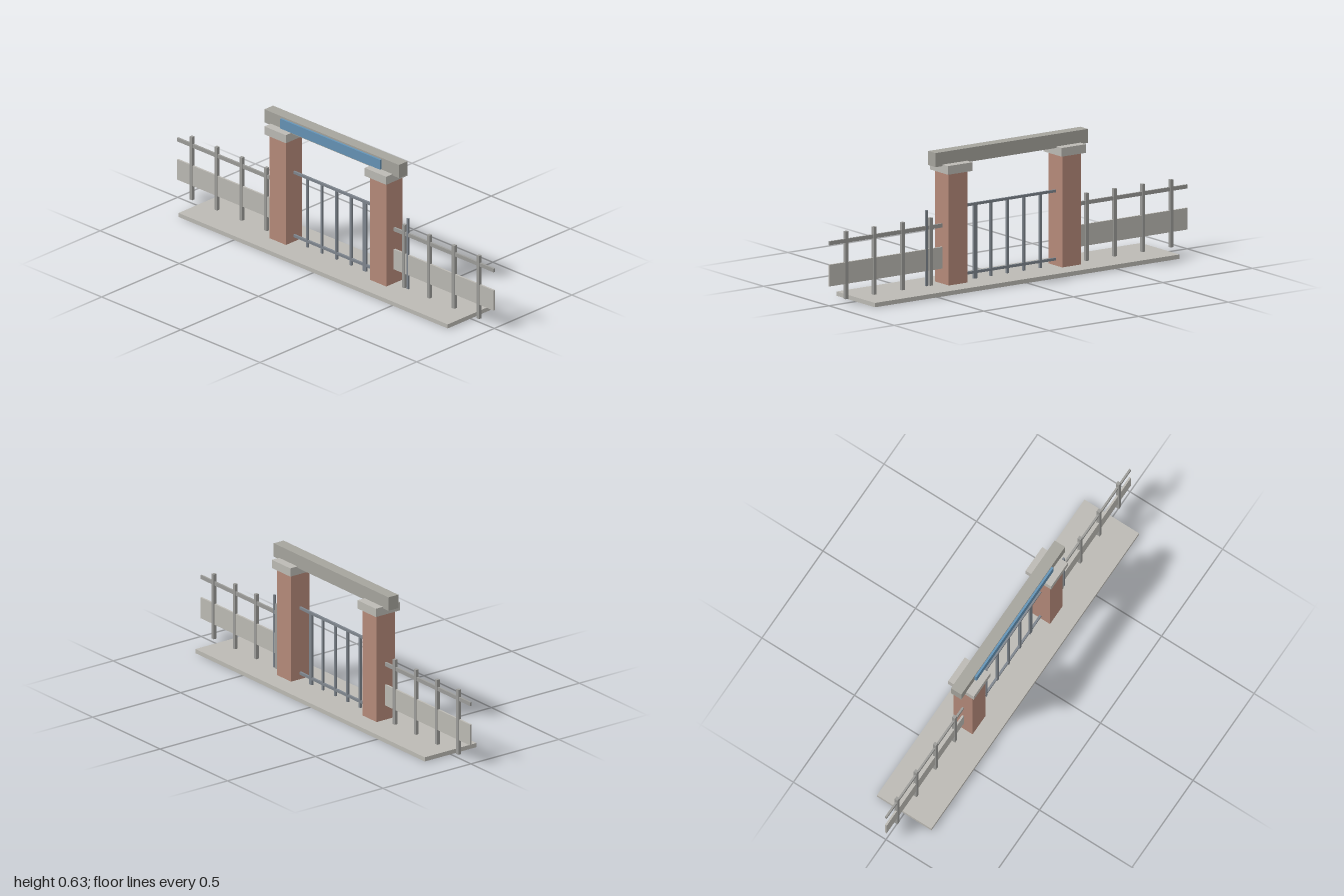
import * as THREE from 'three';

const material = (color) => new THREE.MeshStandardMaterial({ color });

export function createModel() {
  const model = new THREE.Group();
  const stone = material(0xbcbab4);
  const beamStone = material(0xa5a49d);
  const brick = material(0xb58a7a);
  const steel = material(0x9c9c99);
  const gateSteel = material(0x7f868e);
  const blue = material(0x6593b5);

  // Box given by its lower and upper limits on each axis
  const box = (name, mat, [x0, x1], [y0, y1], [z0, z1], parent = model) => {
    const mesh = new THREE.Mesh(new THREE.BoxGeometry(x1 - x0, y1 - y0, z1 - z0), mat);
    mesh.position.set((x0 + x1) / 2, (y0 + y1) / 2, (z0 + z1) / 2);
    mesh.name = name;
    parent.add(mesh);
  };
  const around = (c, half) => [c - half, c + half];

  // Ground slab
  box('base', stone, [-0.85, 0.85], [0, 0.02], [-0.147, 0.147]);

  // Brick pillars with stone caps
  for (const x of [-0.317, 0.317]) {
    box('pillar', brick, around(x, 0.052), [0.02, 0.537], around(0, 0.052));
    box('pillarCap', stone, around(x, 0.068), [0.537, 0.577], around(0, 0.069));
  }

  // Lintel and sign board
  box('lintel', beamStone, [-0.425, 0.425], [0.57, 0.635], around(0, 0.028));
  box('signBoard', blue, [-0.315, 0.315], [0.579, 0.627], [0.028, 0.038]);

  // Gate rails and bars; the second leaf's bars run on past the pillar
  const gate = new THREE.Group();
  gate.name = 'gate';
  model.add(gate);
  for (const y of [0.05, 0.365]) {
    box('gateRail', gateSteel, [-0.268, 0.268], around(y, 0.006), around(0, 0.005), gate);
  }
  for (const [start, count] of [[-0.18, 5], [0.179, 4]]) {
    for (let i = 0; i < count; i++) {
      box('gateBar', gateSteel, around(start + i * 0.092, 0.0055), [0.02, 0.37], around(0, 0.005), gate);
    }
  }

  // Side fences: low panel, top rail and posts
  for (const side of [-1, 1]) {
    const fence = new THREE.Group();
    fence.name = side > 0 ? 'leftFence' : 'rightFence';
    model.add(fence);
    const span = side > 0 ? [0.365, 1] : [-1, -0.365];
    box('fencePanel', stone, span, [0.09, 0.19], around(0, 0.0045), fence);
    box('fenceRail', steel, span, [0.28, 0.298], around(0, 0.0045), fence);
    const first = side > 0 ? 0.433 : -0.909;
    for (let i = 0; i < 4; i++) {
      box('fencePost', steel, around(first + i * 0.157, 0.008), [0.02, 0.333], around(0, 0.008), fence);
    }
  }
  return model;
}
